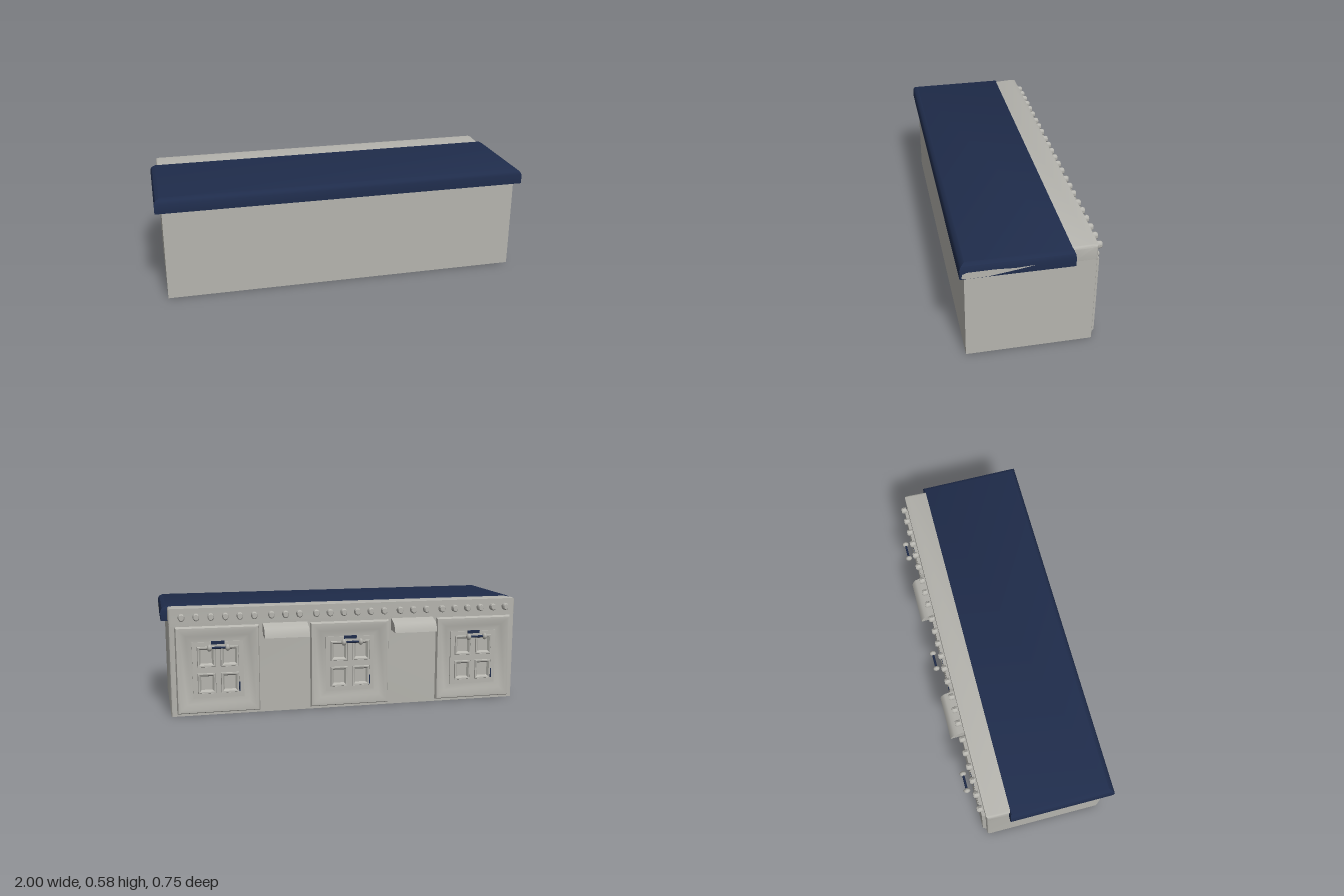
import * as THREE from 'three';
import { toCreasedNormals } from 'three/addons/utils/BufferGeometryUtils.js';

const grey = new THREE.MeshStandardMaterial({ name: 'warm grey', color: 0xb5b4ae, side: THREE.DoubleSide });
const navy = new THREE.MeshStandardMaterial({ name: 'navy', color: 0x1f2c4b });

function add(parent, name, geometry, material, x = 0, y = 0, z = 0) {
  const mesh = new THREE.Mesh(geometry, material);
  mesh.name = name;
  mesh.position.set(x, y, z);
  parent.add(mesh);
  return mesh;
}

// Stack of equal-length convex loops joined by faces, optionally capped
function loft(loops, capStart, capEnd) {
  const pos = [];
  const n = loops[0].length;
  for (let i = 0; i + 1 < loops.length; i++) {
    const p = loops[i], q = loops[i + 1];
    for (let k = 0; k < n; k++) {
      const m = (k + 1) % n;
      pos.push(...p[k], ...p[m], ...q[m], ...p[k], ...q[m], ...q[k]);
    }
  }
  const first = loops[0], last = loops[loops.length - 1];
  for (let k = 1; k + 1 < n; k++) {
    if (capStart) pos.push(...first[0], ...first[k + 1], ...first[k]);
    if (capEnd) pos.push(...last[0], ...last[k], ...last[k + 1]);
  }
  const g = new THREE.BufferGeometry();
  g.setAttribute('position', new THREE.Float32BufferAttribute(pos, 3));
  g.computeVertexNormals();
  return toCreasedNormals(g, 0.6);
}
const box = (x, y0, y1, z) => [[-x, y0, z], [x, y0, z], [x, y1, z], [-x, y1, z]];
const rect = (w, h, z) => box(w, -h, h, z);

// Side profile of [-z, y] points, drawn out along x and centred
function profile(points, width, bevel) {
  const shape = new THREE.Shape(points.map(([a, b]) => new THREE.Vector2(a, b)));
  const g = new THREE.ExtrudeGeometry(shape, {
    depth: width - 2 * bevel, bevelEnabled: bevel > 0, bevelSize: bevel,
    bevelThickness: bevel, bevelOffset: -bevel, bevelSegments: 3,
  });
  g.translate(0, 0, bevel - width / 2);
  g.rotateY(Math.PI / 2);
  return toCreasedNormals(g, 0.6);
}

// Door facing +z: sloped outer moulding, window frame and four recessed panes
function makeDoor() {
  const door = new THREE.Group();
  door.name = 'door';
  add(door, 'doorMoulding', loft([
    rect(0.22, 0.233, 0), rect(0.214, 0.225, 0.018), rect(0.198, 0.212, 0.019),
    rect(0.165, 0.182, 0.01), rect(0.142, 0.162, 0.003), rect(0.12, 0.14, 0.003),
  ], false, false), grey);

  const w = 0.134, h = 0.15;
  const outline = new THREE.Shape([[-w, -h], [w, -h], [w, h], [-w, h]].map((p) => new THREE.Vector2(...p)));
  const paneW = 0.048, paneH = 0.055;
  const centres = [];
  for (const sx of [-1, 1]) for (const sy of [-1, 1]) centres.push([sx * 0.061, sy * 0.071]);
  for (const [cx, cy] of centres) {
    outline.holes.push(new THREE.Path([
      [cx - paneW, cy - paneH], [cx - paneW, cy + paneH], [cx + paneW, cy + paneH], [cx + paneW, cy - paneH],
    ].map((p) => new THREE.Vector2(...p))));
  }
  add(door, 'windowFrame', new THREE.ExtrudeGeometry(outline, { depth: 0.011, bevelEnabled: false }), grey);
  for (const [cx, cy] of centres) {
    add(door, 'windowPane', loft([
      rect(paneW, paneH, 0.008), rect(paneW - 0.003, paneH - 0.003, 0.017),
      rect(paneW - 0.01, paneH - 0.01, 0.016), rect(paneW - 0.019, paneH - 0.019, 0.001),
    ], false, true), grey, cx, cy, 0);
  }

  // Dark backing behind the handle and a dark sliver beside the lower pane
  add(door, 'handleBacking', new THREE.BoxGeometry(0.07, 0.016, 0.009), navy, 0, 0.146, 0.0145);
  add(door, 'paneEdge', new THREE.BoxGeometry(0.006, 0.05, 0.009), navy, 0.11, -0.095, 0.0135);

  // Floating bar handle with ball ends
  const bar = new THREE.CylinderGeometry(0.006, 0.006, 0.09, 8);
  bar.rotateZ(Math.PI / 2);
  add(door, 'handleBar', bar, navy, 0, 0.127, 0.059);
  for (const s of [-1, 1]) {
    const end = new THREE.SphereGeometry(0.019, 8, 6);
    end.rotateZ(Math.PI / 2);
    end.scale(0.7, 1, 1);
    add(door, 'handleEnd', end, grey, s * 0.047, 0.127, 0.059);
  }
  return door;
}

export function createModel() {
  const model = new THREE.Group();
  model.name = 'stoveCounter';

  // Hollow cabinet, open underneath, with softened corners on the working side
  const plan = (y) => [
    [-0.965, y, 0.35], [0.965, y, 0.35], [0.965, y, -0.284], [0.961, y, -0.293], [0.952, y, -0.297],
    [-0.952, y, -0.297], [-0.961, y, -0.293], [-0.965, y, -0.284],
  ];
  add(model, 'cabinetShell', loft([plan(0), plan(0.496)], false, false), grey);

  // Raised rail above the doors
  add(model, 'controlRail', profile([
    [0.165, 0.48], [0.297, 0.48], [0.297, 0.573], [0.27, 0.576], [0.165, 0.57],
  ], 1.93, 0.013), grey);

  // Countertop with softened upper edges
  const top = loft([
    box(1, -0.375, 0.18, 0.494), box(1, -0.375, 0.18, 0.545),
    box(0.992, -0.367, 0.177, 0.561), box(0.972, -0.348, 0.17, 0.572),
  ], true, true);
  top.rotateX(-Math.PI / 2);
  add(model, 'countertop', top, navy);

  // Worn grey patch on the left end of the countertop
  const patch = new THREE.ShapeGeometry(new THREE.Shape([
    [-0.367, 0.5], [-0.34, 0.495], [-0.24, 0.496], [-0.09, 0.517], [-0.012, 0.53], [-0.112, 0.526],
    [-0.213, 0.532], [-0.34, 0.531], [-0.362, 0.522],
  ].map((p) => new THREE.Vector2(...p))));
  patch.rotateY(Math.PI / 2);
  add(model, 'edgePatch', patch, grey, 1.001, 0, 0);

  // Three doors
  for (const x of [-0.715, 0, 0.715]) {
    const door = makeDoor();
    door.position.set(x, 0.245, -0.297);
    door.rotation.y = Math.PI;
    model.add(door);
  }

  // Curved hoods between the doors
  const hood = profile([
    [0.297, 0.418], [0.32, 0.417], [0.375, 0.413], [0.37, 0.431], [0.361, 0.449], [0.35, 0.462],
    [0.325, 0.472], [0.297, 0.483],
  ], 0.24, 0);
  for (const x of [-0.355, 0.355]) add(model, 'hood', hood, grey, x);

  // Row of knobs: six over each door, three over each hood
  let knob = new THREE.LatheGeometry(
    [[0, 0], [0.02, 0], [0.02, 0.02], [0.015, 0.028], [0, 0.028]].map((p) => new THREE.Vector2(...p)), 10);
  knob.rotateX(-Math.PI / 2);
  knob.scale(0.85, 1, 1);
  knob = toCreasedNormals(knob, 0.7);
  for (const [centre, count] of [[-0.71, 6], [-0.355, 3], [0, 6], [0.355, 3], [0.71, 6]]) {
    for (let i = 0; i < count; i++) {
      add(model, 'knob', knob, grey, centre + (i - (count - 1) / 2) * 0.0755, 0.529, -0.305);
    }
  }
  return model;
}
